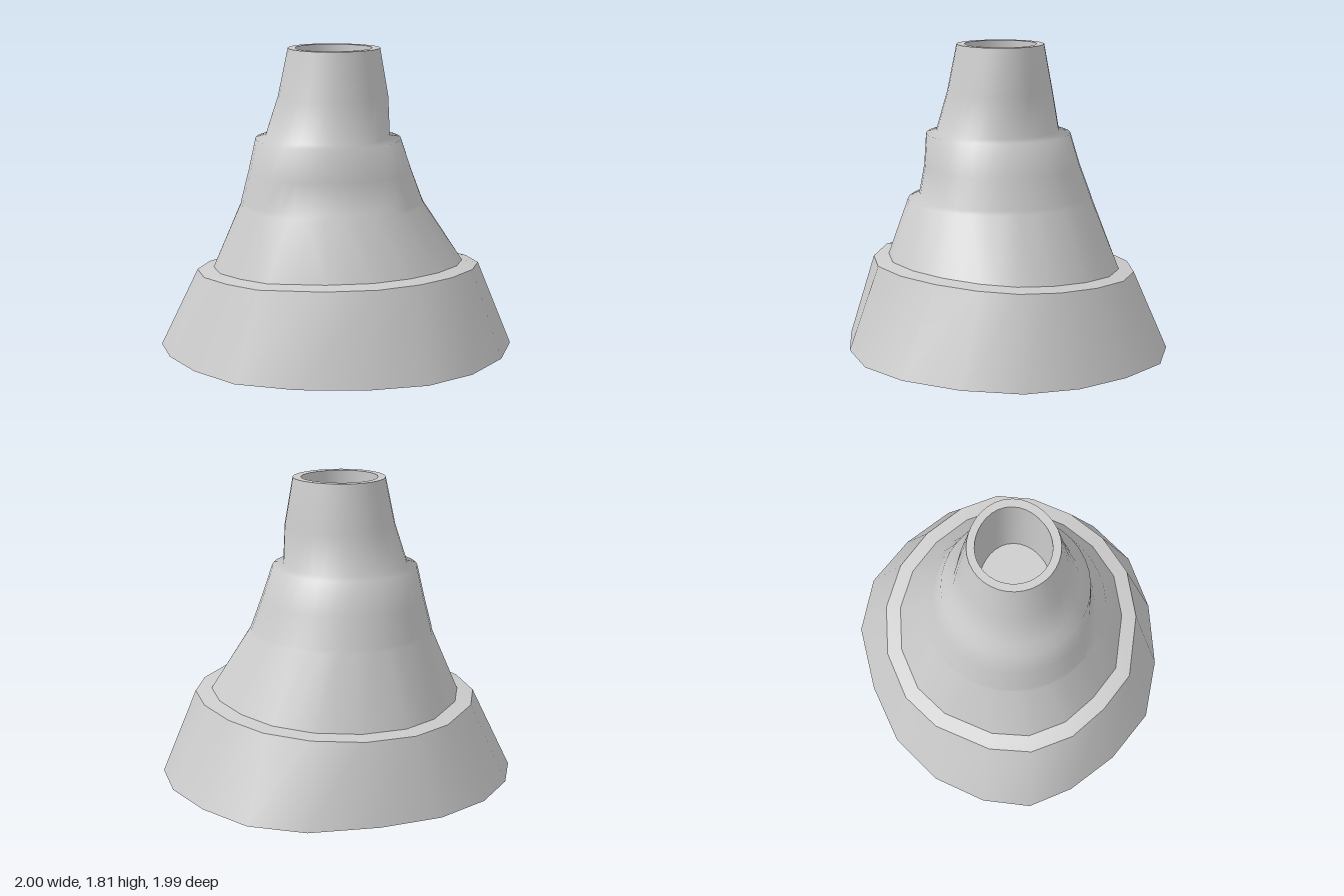
import * as THREE from 'three';

const material = new THREE.MeshStandardMaterial({ color: 0xcccccc });

// Skins a list of closed rings (each an array of [x, y, z]) into one smooth surface.
function loft(name, rings) {
  const n = rings[0].length;
  const index = [];
  for (let j = 0; j < rings.length - 1; j++) {
    for (let i = 0; i < n; i++) {
      const k = (i + 1) % n;
      const a = j * n + i, b = j * n + k, c = b + n, d = a + n;
      index.push(a, d, b, b, d, c);
    }
  }
  const geometry = new THREE.BufferGeometry();
  geometry.setAttribute('position', new THREE.Float32BufferAttribute(rings.flat(2), 3));
  geometry.setIndex(index);
  geometry.computeVertexNormals();
  const mesh = new THREE.Mesh(geometry, material);
  mesh.name = name;
  return mesh;
}

// Irregular hand-cut outlines, as [x, z]
const baseOutline = [
  [-0.16, -1], [0.19, -0.98], [0.52, -0.88], [0.78, -0.69], [0.94, -0.38], [1, -0.02],
  [0.94, 0.3], [0.74, 0.59], [0.44, 0.84], [0.11, 0.99], [-0.24, 0.97], [-0.56, 0.87],
  [-0.8, 0.72], [-0.94, 0.46], [-1, 0.13], [-0.94, -0.22], [-0.75, -0.55], [-0.48, -0.86],
];
const rimOutline = [
  [-0.1, -0.78], [0.17, -0.77], [0.43, -0.69], [0.63, -0.55], [0.74, -0.35], [0.79, -0.09],
  [0.77, 0.17], [0.67, 0.42], [0.46, 0.63], [0.12, 0.81], [-0.14, 0.8], [-0.39, 0.74],
  [-0.61, 0.59], [-0.74, 0.37], [-0.81, 0.02], [-0.77, -0.24], [-0.61, -0.5], [-0.37, -0.69],
];

const SIDES = 36;
// Slightly oval ring spanning x0..x1 and z0..z1, with an optional radial offset by angle.
function ovalRing(y, x0, x1, z0, z1, offset = () => 0) {
  return Array.from({ length: SIDES }, (_, i) => {
    const t = THREE.MathUtils.degToRad(-97 + i * 10);
    const c = Math.cos(t), s = Math.sin(t), r = offset(t);
    return [(x0 + x1) / 2 + c * ((x1 - x0) / 2 + r), y, (z0 + z1) / 2 + s * ((z1 - z0) / 2 + r)];
  });
}

// Dent in the front left quarter, and a small swelling at the back left
const quarter = (t) => Math.sqrt(Math.max(0, Math.sin(2 * t) * (Math.cos(t) > 0 ? 1 : 0)));
const dent = (depth) => (t) => -depth * quarter(t);
const swell = (t) => 0.025 * Math.max(0, Math.cos(t + Math.PI / 4)) ** 4;

export function createModel() {
  const group = new THREE.Group();
  group.name = 'steppedCone';

  // Skirt: tilted foot, sloping wall and flat rim
  const foot = baseOutline.map(([x, z]) => [x, 0.021 + 0.014 * x + 0.008 * z, z]);
  const rimOuter = rimOutline.map(([x, z]) => [x, 0.51 + 0.055 * x + 0.025 * z, z]);
  const rimInner = rimOuter.map(([x, y, z]) => [x * 0.885, y + 0.015, z * 0.885]);
  group.add(loft('skirt', [foot, rimOuter]));
  group.add(loft('skirtRim', [rimOuter, rimInner]));
  group.add(loft('underside', [foot.map(() => [0, 0.021, 0]), foot]));

  // Body: starts on the rim's inner edge, with midpoints added between the corners
  const bodyFoot = rimInner.flatMap((p, i) => {
    const q = rimInner[(i + 1) % rimInner.length];
    return [p, p.map((v, k) => (v + q[k]) / 2)];
  });
  group.add(loft('body', [
    bodyFoot,
    ovalRing(0.9, -0.565, 0.525, -0.51, 0.58, dent(-0.01)),
    ovalRing(0.925, -0.56, 0.515, -0.5, 0.575, dent(0.05)),
    ovalRing(1.1, -0.51, 0.46, -0.43, 0.53, dent(0.035)),
    ovalRing(1.29, -0.46, 0.4, -0.37, 0.49),
    ovalRing(1.305, -0.4, 0.34, -0.3, 0.43),
    ovalRing(1.54, -0.335, 0.29, -0.27, 0.355, swell),
    ovalRing(1.82, -0.28, 0.24, -0.22, 0.295, swell),
  ]));

  // Mouth: flat lip, bore and its floor
  const mouth = ovalRing(1.82, -0.28, 0.24, -0.22, 0.295, swell);
  const bore = ovalRing(1.82, -0.235, 0.19, -0.175, 0.25, swell);
  const boreFoot = ovalRing(1.32, -0.23, 0.185, -0.155, 0.245, swell);
  group.add(loft('lip', [mouth, bore]));
  group.add(loft('bore', [bore, boreFoot]));
  group.add(loft('boreFloor', [boreFoot, boreFoot.map(() => [-0.02, 1.32, 0.04])]));

  return group;
}
